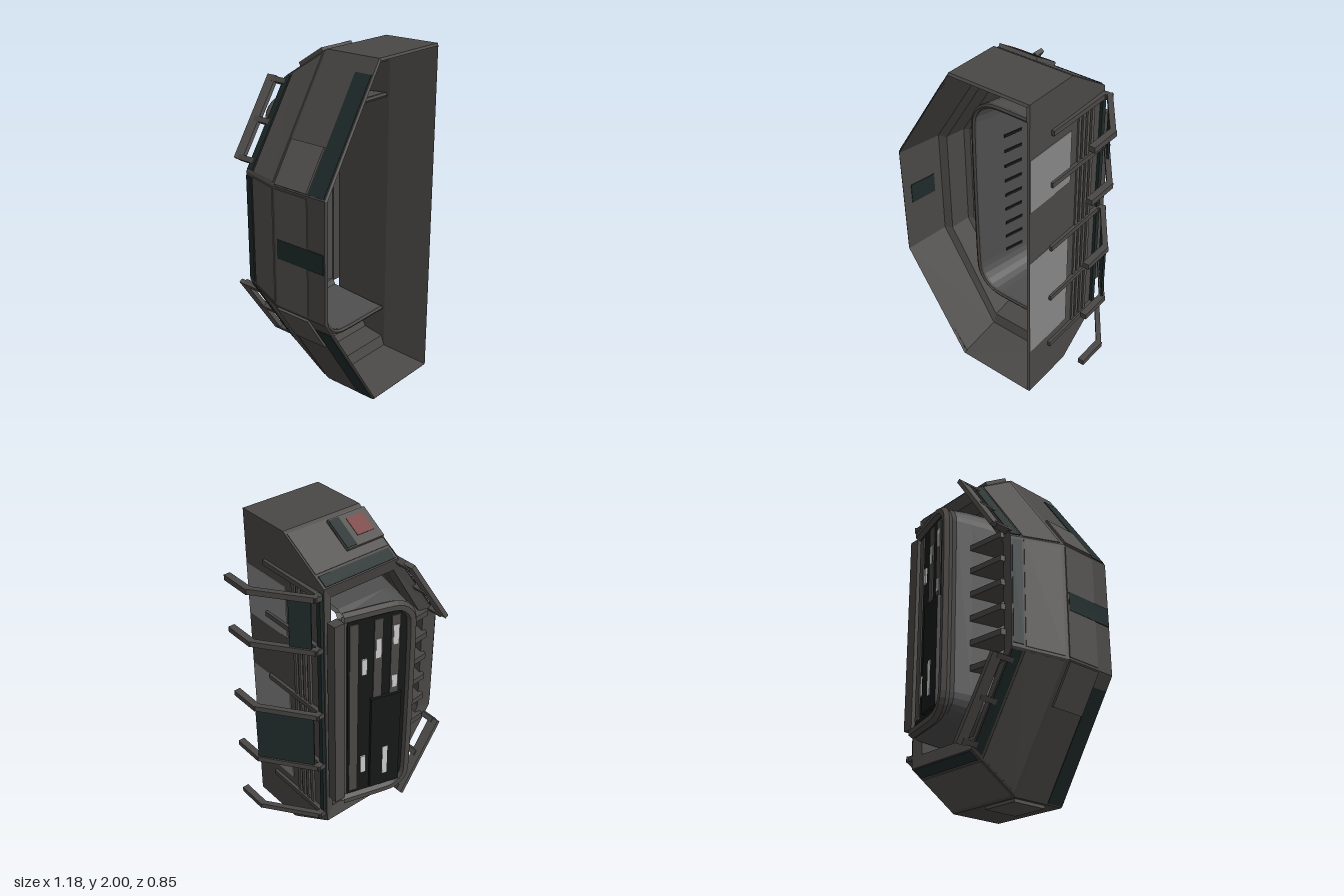
import * as THREE from 'three';

const paint = (color, side = THREE.FrontSide) =>
  new THREE.MeshStandardMaterial({ color, flatShading: true, side });
const HULL = paint(0x4a4846), PANEL = paint(0x545250), DARK = paint(0x202b2b), BLACK = paint(0x161818),
  RED = paint(0x7a4444), LIGHT = paint(0xcccccc), PALE = paint(0x868686), TUB = paint(0x4e4e4e, THREE.DoubleSide);

function add(parent, name, geometry, material, x = 0, y = 0, z = 0) {
  const mesh = new THREE.Mesh(geometry, material);
  mesh.name = name;
  mesh.position.set(x, y, z);
  parent.add(mesh);
  return mesh;
}

const box = (parent, name, mat, w, h, d, x, y, z) =>
  add(parent, name, new THREE.BoxGeometry(w, h, d), mat, x, y, z);

// Upright strip between two points of the ground plane
function strip(parent, name, mat, [x0, z0], [x1, z1], y, h, t) {
  const len = Math.hypot(x1 - x0, z1 - z0);
  const m = box(parent, name, mat, len, h, t, (x0 + x1) / 2, y, (z0 + z1) / 2);
  m.rotation.y = Math.atan2(z0 - z1, x1 - x0);
  return m;
}

// Skin between successive rings; a tub is open on its right side and capped at both ends
function loft(rings, isTub) {
  const n = rings[0].length, idx = [];
  for (let r = 0; r < rings.length - 1; r++) {
    for (let i = 0; i < (isTub ? n - 1 : n); i++) {
      const j = (i + 1) % n, a = r * n + i, b = r * n + j;
      idx.push(a, b, b + n, a, b + n, a + n);
    }
  }
  if (isTub) {
    const last = (rings.length - 1) * n;
    for (let i = 1; i < n - 1; i++) idx.push(0, i + 1, i, last, last + i, last + i + 1);
  }
  const g = new THREE.BufferGeometry();
  g.setAttribute('position', new THREE.Float32BufferAttribute(rings.flat(2), 3));
  g.setIndex(idx);
  const out = g.toNonIndexed();
  out.computeVertexNormals();
  return out;
}

// Half-octagon section
function section(left, right, inset, z, cornerX = -0.17, half = 0.345) {
  const top = 2 - inset, bottom = 0.014 + inset, mid = 1.015;
  return [[right, top, z], [cornerX, top, z], [left, mid + half, z],
    [left, mid - half, z], [cornerX, bottom, z], [right, bottom, z]];
}

// Raised plate lying on one face between two sections
function facePanel(parent, name, mat, back, front, i, [u0, u1], [v0, v1], t = 0.008) {
  const V = (p) => new THREE.Vector3(...p), j = (i + 1) % back.length;
  const at = (u, v) => V(back[i]).lerp(V(back[j]), u).lerp(V(front[i]).lerp(V(front[j]), u), v);
  const normal = at(1, 0.5).sub(at(0, 0.5)).cross(at(0.5, 1).sub(at(0.5, 0))).normalize();
  const g = new THREE.BoxGeometry(1, 1, 1), pos = g.attributes.position;
  for (let k = 0; k < pos.count; k++) {
    const p = at(pos.getX(k) > 0 ? u1 : u0, pos.getY(k) > 0 ? v1 : v0);
    p.addScaledVector(normal, pos.getZ(k) > 0 ? t : -0.01);
    pos.setXYZ(k, p.x, p.y, p.z);
  }
  g.computeVertexNormals();
  return add(parent, name, g, mat);
}

// Rectangle with rounded corners on its left side
function doorRing(left, right, low, high, r, zAt) {
  const pts = [[right, high]];
  for (let c = 0; c < 2; c++) {
    for (let k = 0; k <= 6; k++) {
      const a = Math.PI / 2 * (1 + c + k / 6);
      pts.push([left + r + r * Math.cos(a), (c ? low + r : high - r) + r * Math.sin(a)]);
    }
  }
  pts.push([right, low]);
  return pts.map(([x, y]) => [x, y, zAt(x)]);
}

// Tube along a door ring
function ringTube(parent, name, ring, radius) {
  const path = new THREE.CatmullRomCurve3(ring.map((p) => new THREE.Vector3(...p)), false, 'centripetal');
  return add(parent, name, new THREE.TubeGeometry(path, 64, radius, 6), HULL);
}

export function createModel() {
  const model = new THREE.Group();
  const part = (name) => {
    const g = new THREE.Group();
    g.name = name;
    model.add(g);
    return g;
  };

  // Hollow shell: outer taper, deep sloping rim and stepped inside
  const back = section(-0.48, 0.32, 0.2, -0.24, -0.17, 0.325);
  const waist = section(-0.583, 0.328, 0.004, 0.07);
  const front = section(-0.583, 0.33, 0.004, 0.415);
  const rim = section(-0.57, 0.32, 0.016, 0.425);
  const rimInner = section(-0.53, 0.262, 0.07, 0.15, -0.16, 0.335);
  const rearInner = section(-0.4, 0.262, 0.275, -0.22, -0.16, 0.32);
  add(model, 'shell', loft([
    rearInner, back, waist, front, rim, rimInner,
    section(-0.485, 0.262, 0.13, 0.13, -0.155, 0.33),
    section(-0.47, 0.262, 0.15, 0, -0.155, 0.325),
    section(-0.44, 0.262, 0.19, -0.02, -0.155, 0.325),
    rearInner], false), HULL);

  // Plates on the outer faces (0 top, 1 and 3 slopes, 2 side, 4 bottom)
  const plates = part('shellPlates');
  for (const i of [0, 1, 2, 3, 4]) {
    facePanel(plates, 'rearBand', DARK, back, waist, i, [0.03, 0.97], [0.02, 0.2], 0.005);
    facePanel(plates, 'taperPlate', PANEL, back, waist, i, [0.02, 0.98], [0.24, 0.94], 0.004);
  }
  for (const [i, u] of [[1, [0.66, 0.99]], [3, [0.01, 0.34]]]) {
    facePanel(plates, 'cornerPlate', PANEL, waist, front, i, u, [0.02, 0.66], 0.013);
    facePanel(plates, 'frontBand', DARK, waist, front, i, [0.12, 0.99], [0.68, 0.98], 0.004);
  }
  facePanel(plates, 'sidePlate', PANEL, waist, front, 2, [0.02, 0.98], [0.02, 0.66], 0.004);
  facePanel(plates, 'sideStripe', DARK, waist, front, 2, [0.42, 0.58], [0.05, 0.98], 0.006);
  facePanel(plates, 'innerPatch', DARK, rim, rimInner, 2, [0.36, 0.54], [0.2, 0.8], 0.004);
  facePanel(plates, 'topPlate', PANEL, back, waist, 0, [0.5, 0.99], [0.38, 0.9], 0.024);
  facePanel(plates, 'topVent', DARK, back, waist, 0, [0.5, 0.63], [0.4, 0.88], 0.027);
  facePanel(plates, 'redHatch', RED, back, waist, 0, [0.7, 0.92], [0.52, 0.82], 0.027);
  box(plates, 'bottomPlate', PANEL, 0.23, 0.03, 0.23, -0.035, 0.015, 0.195);
  for (const [y, h] of [[1.52, 0.32], [0.685, 0.67]]) box(plates, 'palePatch', PALE, 0.006, h, 0.345, 0.329, y, 0.24);

  // Deep tub with a tilted rear wall, reaching forward into the shell
  const door = part('rearDoor');
  const slope = (x) => -0.43 + (Math.max(x, -0.13) + 0.13) * 0.275;
  add(door, 'doorTub', loft([
    doorRing(-0.135, 0.25, 0.39, 1.635, 0.1, (x) => slope(x) + 0.04),
    doorRing(-0.17, 0.25, 0.375, 1.645, 0.12, (x) => Math.min(slope(x) + 0.07, -0.3)),
    doorRing(-0.19, 0.25, 0.355, 1.67, 0.14, () => -0.26),
    doorRing(-0.285, 0.25, 0.335, 1.695, 0.17, () => 0.13),
    doorRing(-0.265, 0.25, 0.355, 1.675, 0.15, () => 0.13),
    doorRing(-0.175, 0.25, 0.385, 1.64, 0.13, () => -0.24),
    doorRing(-0.14, 0.25, 0.42, 1.61, 0.09, (x) => slope(x) + 0.066)], true), TUB);
  ringTube(door, 'tubLip', doorRing(-0.272, 0.25, 0.347, 1.683, 0.16, () => 0.13), 0.015);
  ringTube(door, 'rearRim', doorRing(-0.133, 0.25, 0.388, 1.632, 0.11, (x) => slope(x) + 0.032), 0.03);
  box(door, 'hingePost', HULL, 0.065, 1.2, 0.06, 0.28, 1.01, -0.28);
  for (const x of [0.13, 0.17]) box(door, 'innerSeam', DARK, 0.012, 1.16, 0.012, x, 1.015, slope(x) + 0.068);
  for (let i = 0; i < 9; i++) strip(door, 'wallSlot', BLACK, [-0.219, -0.06], [-0.19, -0.18], 0.52 + i * 0.105, 0.018, 0.012);

  // Fittings on the rear wall, set in behind the rim
  const cover = new THREE.Group();
  cover.name = 'doorCover';
  cover.position.set(-0.13, 0, -0.4);
  cover.rotation.y = Math.atan2(-0.105, 0.38);
  door.add(cover);
  box(cover, 'coverSheet', BLACK, 0.35, 1.18, 0.012, 0.19, 1.01, 0.004);
  box(cover, 'coverBox', BLACK, 0.18, 0.64, 0.04, 0.14, 0.76, -0.003);
  for (const x of [0.09, 0.19, 0.33]) box(cover, 'coverStrip', HULL, 0.05, 1.14, 0.008, x, 1.01, -0.004);
  for (const [x, y, h] of [[0.09, 1.46, 0.12], [0.19, 1.4, 0.12], [0.09, 1.16, 0.08],
    [0.27, 1.3, 0.1], [0.27, 0.62, 0.12], [0.14, 0.62, 0.2]]) {
    box(cover, 'lightPatch', LIGHT, 0.03, h, 0.01, x, y, x === 0.14 ? -0.02 : -0.006);
  }

  // Flat ribs between the shell and the tub
  const ribs = part('ribs');
  const ribShape = new THREE.Shape([[-0.455, 0.1], [-0.225, 0.1], [-0.185, 0.27], [-0.41, 0.25]]
    .map(([x, depth]) => new THREE.Vector2(x, depth)));
  const ribGeometry = new THREE.ExtrudeGeometry(ribShape, { depth: 0.034, bevelEnabled: false }).rotateX(-Math.PI / 2);
  for (let i = 0; i < 6; i++) add(ribs, 'rib', ribGeometry, HULL, 0, 0.628 + i * 0.146, 0);

  // Slanted rear fins on short posts, mirrored top and bottom
  const fins = part('rearFins');
  for (const s of [1, -1]) {
    const fin = box(fins, 'rearFin', PANEL, 0.5, 0.025, 0.065, -0.312, 1.01 + s * 0.58, -0.322);
    fin.rotation.z = s * Math.atan2(0.43, 0.29);
    for (const t of [0.04, 0.5, 0.94]) {
      const post = box(fins, 'finPost', HULL, 0.03, 0.035, 0.11, -0.17 - 0.29 * t, 1.01 + s * (0.785 - 0.43 * t), -0.265);
      post.rotation.z = fin.rotation.z;
    }
  }

  // Bent outrigger bars on the flat side, with bars and slats on the wall
  const rack = part('sideRack');
  for (const y of [1.755, 1.44, 1.015, 0.65, 0.28]) {
    strip(rack, 'slantedBar', HULL, [0.355, -0.235], [0.57, 0.06], y, 0.032, 0.03);
    strip(rack, 'outerBar', HULL, [0.567, 0.05], [0.567, 0.24], y, 0.032, 0.038);
    box(rack, 'wallBar', HULL, 0.025, 0.03, 0.47, 0.334, y, 0.005);
    box(rack, 'barFoot', HULL, 0.05, 0.03, 0.035, 0.352, y, -0.22);
  }
  for (const z of [0, -0.04, -0.08, -0.12]) box(rack, 'wallSlat', PANEL, 0.016, 1.48, 0.022, 0.328, 1.02, z);
  box(rack, 'wallPost', DARK, 0.02, 1.5, 0.03, 0.328, 1.02, -0.215);
  strip(rack, 'upperPlate', DARK, [0.375, -0.205], [0.445, -0.11], 1.6, 0.31, 0.012);
  strip(rack, 'lowerPlate', DARK, [0.375, -0.205], [0.57, 0.06], 0.835, 0.36, 0.012);

  return model;
}
